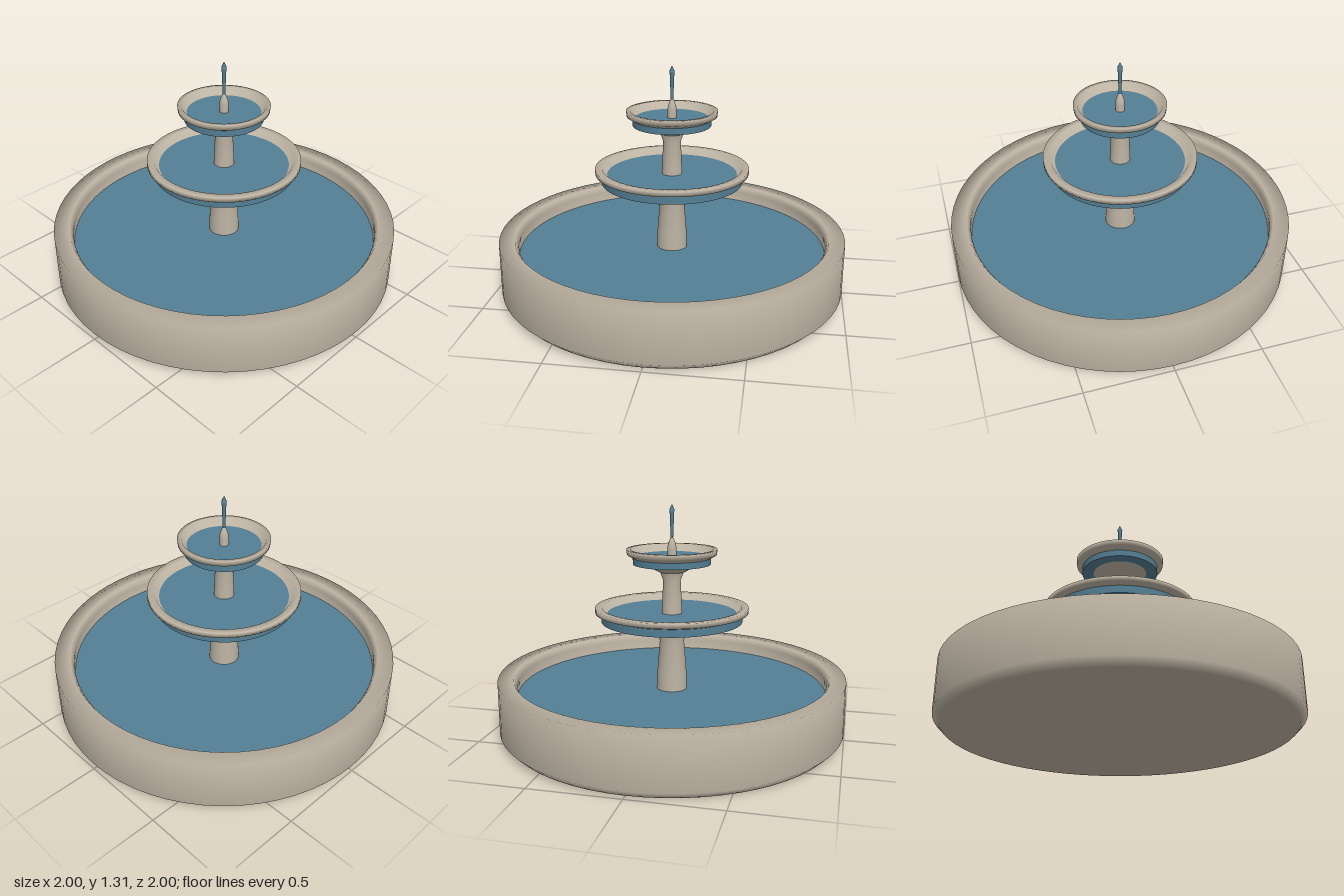
import * as THREE from 'three';

const SEGMENTS = 64;

export function createModel() {
  const model = new THREE.Group();
  model.name = 'tieredFountain';

  const stone = new THREE.MeshStandardMaterial({ color: 0xbdb3a3 });
  stone.name = 'stone';
  const water = new THREE.MeshStandardMaterial({ color: 0x547f94 });
  water.name = 'water';

  // Turned part from [radius, height] pairs, listed from the bottom up the outside
  function turned(name, profile, material, segments = SEGMENTS) {
    const points = profile.map(([r, y]) => new THREE.Vector2(r, y));
    const mesh = new THREE.Mesh(new THREE.LatheGeometry(points, segments), material);
    mesh.name = name;
    model.add(mesh);
  }

  // Flat disc of water between two heights
  function pool(name, radius, bottom, top) {
    const geometry = new THREE.CylinderGeometry(radius, radius, top - bottom, SEGMENTS);
    geometry.translate(0, (bottom + top) / 2, 0);
    const mesh = new THREE.Mesh(geometry, water);
    mesh.name = name;
    model.add(mesh);
  }

  // Ground basin with a bevelled foot and a thick rim
  turned('basin', [
    [0, 0], [0.96, 0], [1, 0.04], [1, 0.335],
    [0.91, 0.335], [0.89, 0.3], [0.89, 0.12], [0, 0.12],
  ], stone);
  pool('basinWater', 0.895, 0.19, 0.24);

  // Lower column and bowl
  turned('lowerColumn', [
    [0.09, 0.12], [0.085, 0.335], [0.07, 0.53], [0.1, 0.6], [0.1, 0.63],
  ], stone);
  turned('lowerBowl', [
    [0, 0.595], [0.13, 0.6], [0.44, 0.7], [0.44, 0.728],
    [0.4, 0.728], [0.365, 0.68], [0.12, 0.63], [0, 0.63],
  ], stone);
  pool('lowerBowlWater', 0.405, 0.645, 0.69);

  // Upper column and bowl
  turned('upperColumn', [
    [0.06, 0.63], [0.057, 0.73], [0.05, 0.88], [0.068, 0.93], [0.068, 0.95],
  ], stone);
  turned('upperBowl', [
    [0, 0.928], [0.075, 0.93], [0.255, 1.03], [0.258, 1.06],
    [0.235, 1.06], [0.2, 1.008], [0.07, 0.96], [0, 0.96],
  ], stone);
  pool('upperBowlWater', 0.222, 0.975, 1.018);

  // Finial and water jet
  turned('finial', [
    [0.026, 0.96], [0.026, 1.06], [0.023, 1.085], [0.01, 1.12], [0, 1.128],
  ], stone, 24);
  turned('waterJet', [
    [0.007, 1.11], [0.008, 1.14], [0.013, 1.268], [0.015, 1.28], [0, 1.312],
  ], water, 12);

  return model;
}
